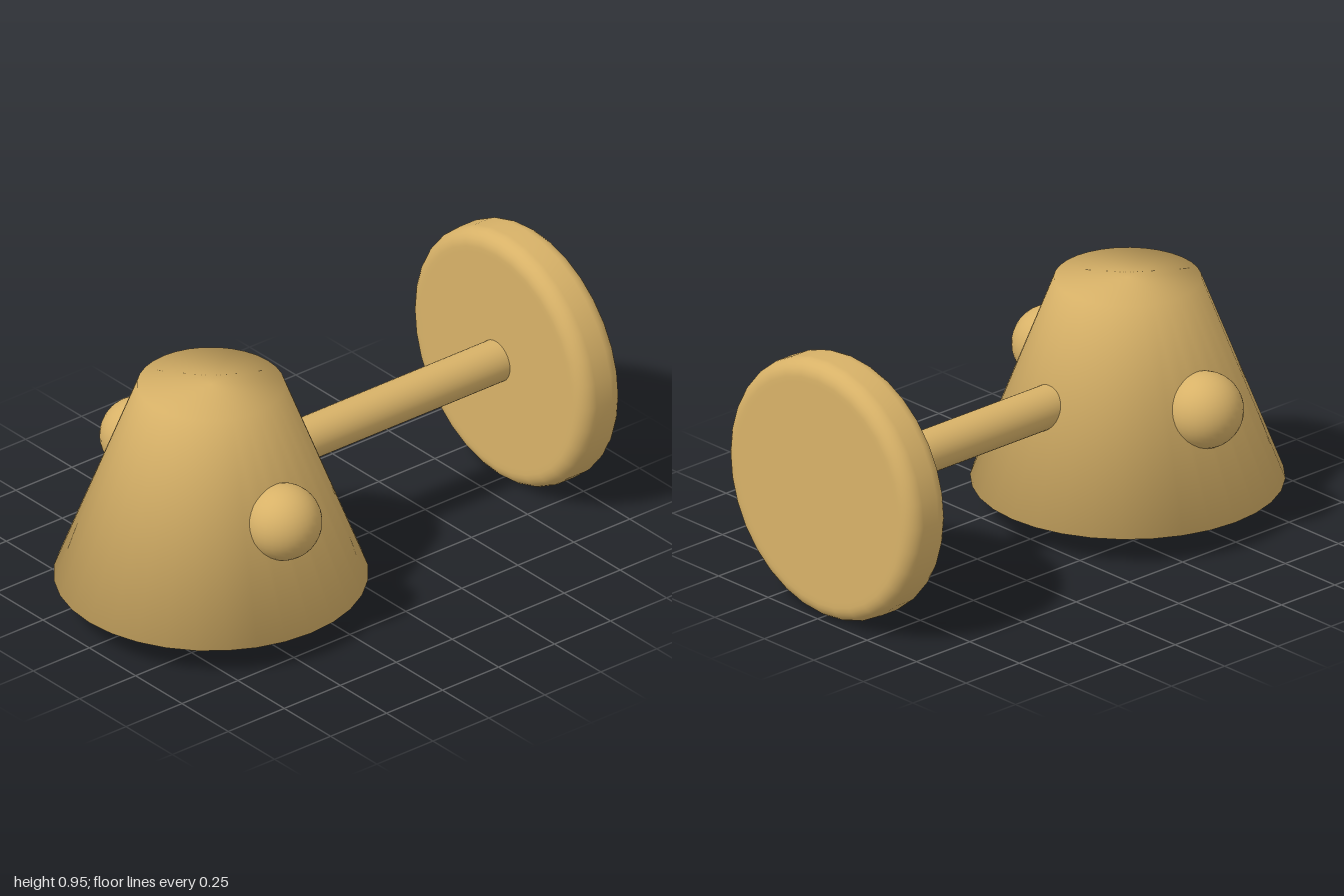
import * as THREE from 'three';

const SIDES = 32;
const AXIS_Y = 0.48; // height of the arm, knobs and wall plate
const SHADE_Z = 0.457; // vertical axis of the shade

const brass = new THREE.MeshStandardMaterial({ color: 0xd8b268 });
const white = new THREE.MeshStandardMaterial({ color: 0xece9e0 });

// Solid of revolution from [radius, height] pairs, bottom to top
function turned(profile) {
  return new THREE.LatheGeometry(profile.map(([r, y]) => new THREE.Vector2(r, y)), SIDES);
}

// Disc centred on the origin with a rounded rim
function roundedDisc(radius, height, round, steps) {
  const h = height / 2;
  const inner = radius - round;
  const profile = [[0, -h], [inner - 0.02, -h]];
  for (const side of [-1, 1]) {
    for (let i = 0; i <= steps; i++) {
      const a = (i / steps + (side < 0 ? -1 : 0)) * Math.PI / 2;
      profile.push([inner + round * Math.cos(a), side * (h - round) + round * Math.sin(a)]);
    }
  }
  profile.push([inner - 0.02, h], [0, h]);
  return turned(profile);
}

export function createModel() {
  const group = new THREE.Group();

  function add(name, geometry, material, x, y, z) {
    const mesh = new THREE.Mesh(geometry, material);
    mesh.name = name;
    mesh.position.set(x, y, z);
    group.add(mesh);
    return mesh;
  }

  // Closed conical shade, shaded softly across its rims
  add('shade', turned([[0, 0.105], [0.543, 0.105], [0.255, 0.853], [0, 0.853]]), brass, 0, 0, SHADE_Z);

  // Light panel under the shade
  add('lightPanel', roundedDisc(0.457, 0.042, 0.018, 4), white, 0, 0.086, SHADE_Z);

  // Round knobs on both sides of the shade
  for (const side of [1, -1]) {
    add(side > 0 ? 'leftKnob' : 'rightKnob', new THREE.SphereGeometry(0.135, 32, 20), brass, side * 0.39, AXIS_Y, SHADE_Z);
  }

  // Arm from the wall plate into the shade
  const arm = new THREE.CylinderGeometry(0.076, 0.076, 1.1, SIDES);
  add('arm', arm.rotateX(Math.PI / 2), brass, 0, AXIS_Y, -0.3);

  // Round wall plate
  const plate = roundedDisc(0.475, 0.184, 0.058, 6);
  add('wallPlate', plate.rotateX(Math.PI / 2), brass, 0, AXIS_Y, -0.908);

  return group;
}
